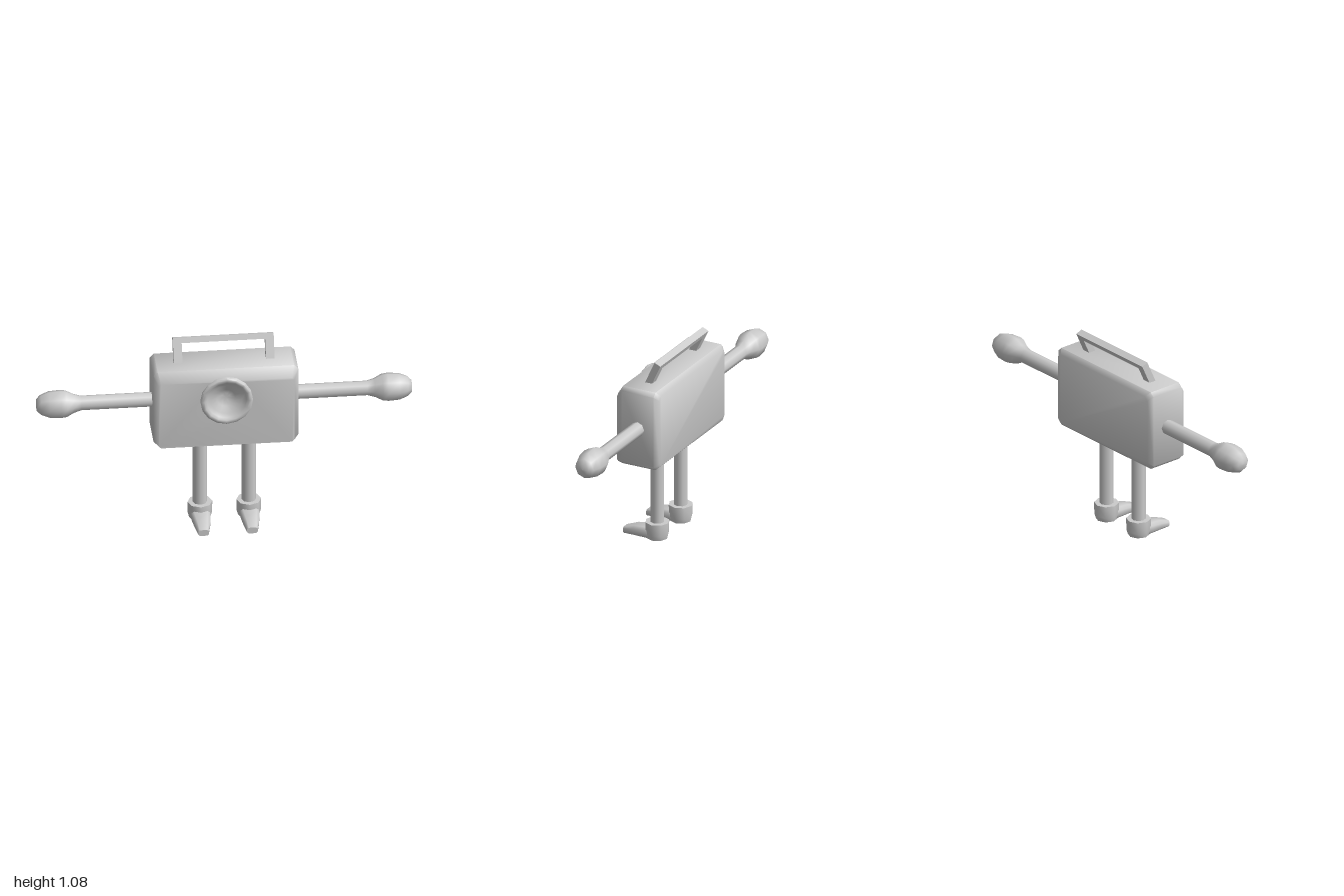
import * as THREE from 'three';
import { mergeGeometries, toCreasedNormals } from 'three/addons/utils/BufferGeometryUtils.js';

const material = new THREE.MeshStandardMaterial({ color: 0xcccccc, side: THREE.DoubleSide });

function addMesh(parent, name, geometry, x = 0, y = 0, z = 0) {
  const mesh = new THREE.Mesh(geometry, material);
  mesh.name = name;
  mesh.position.set(x, y, z);
  parent.add(mesh);
  return mesh;
}

// Rectangle with cut corners, counter-clockwise as seen from the front
function cutRect(w, bottom, top, cut, z) {
  return [
    [w - cut, bottom], [w, bottom + cut], [w, top - cut], [w - cut, top],
    [cut - w, top], [-w, top - cut], [-w, bottom + cut], [cut - w, bottom],
  ].map(([x, y]) => new THREE.Vector3(x, y, z));
}

// Skin over rings ordered from back to front
function loft(rings, capFront = true) {
  const n = rings[0].length;
  const index = [];
  for (let r = 0; r < rings.length - 1; r++) {
    for (let i = 0; i < n; i++) {
      const a = r * n + i, b = r * n + (i + 1) % n;
      index.push(a, b, b + n, a, b + n, a + n);
    }
  }
  const last = (rings.length - 1) * n;
  for (let i = 1; i < n - 1; i++) {
    index.push(0, i + 1, i);
    if (capFront) index.push(last, last + i, last + i + 1);
  }
  const geometry = new THREE.BufferGeometry().setFromPoints(rings.flat());
  geometry.setIndex(index);
  return geometry.toNonIndexed();
}

function lathe(points, sides) {
  return new THREE.LatheGeometry(points.map(([r, y]) => new THREE.Vector2(r, y)), sides);
}

const SPEAKER_Y = 0.785;

// Chamfered case with a round opening for the speaker
function bodyGeometry() {
  const front = cutRect(0.36, 0.507, 0.9, 0.012, 0.09);
  const shell = loft([
    cutRect(0.362, 0.53, 0.93, 0.02, -0.165),
    cutRect(0.385, 0.507, 0.955, 0.022, -0.142),
    cutRect(0.385, 0.507, 0.955, 0.022, 0.052),
    front,
  ], false);
  const panel = new THREE.Shape(front.map((p) => new THREE.Vector2(p.x, p.y)));
  panel.holes.push(new THREE.Path().absarc(0, SPEAKER_Y, 0.108, 0, Math.PI * 2, true));
  const face = new THREE.ShapeGeometry(panel, 8).toNonIndexed();
  face.translate(0, 0, 0.09);
  face.deleteAttribute('uv');
  face.deleteAttribute('normal');
  return toCreasedNormals(mergeGeometries([shell, face]), 1.05);
}

// Raised rim with a dished cone and a small centre cap
function speakerGeometry() {
  const geometry = lathe([
    [0.13, 0.08], [0.14, 0.086], [0.14, 0.102], [0.133, 0.108], [0.117, 0.108],
    [0.106, 0.096], [0.085, 0.086], [0.05, 0.068], [0.022, 0.054], [0, 0.06],
  ], 16);
  geometry.rotateX(Math.PI / 2);
  return toCreasedNormals(geometry, 0.9);
}

// Flat U-shaped carrying handle
function handleGeometry() {
  const shape = new THREE.Shape([
    [-0.268, -0.03], [-0.222, -0.03], [-0.222, 0.1], [0.222, 0.1],
    [0.222, -0.03], [0.268, -0.03], [0.268, 0.13], [-0.268, 0.13],
  ].map(([x, y]) => new THREE.Vector2(x, y)));
  const geometry = new THREE.ExtrudeGeometry(shape, { depth: 0.038, bevelEnabled: false });
  geometry.translate(0, 0, -0.019);
  geometry.rotateX(-0.43);
  return geometry;
}

// Straight arm ending in a rounded mitt
function armGeometry() {
  return lathe([
    [0.04, 0.36], [0.04, 0.76], [0.052, 0.8], [0.073, 0.84], [0.077, 0.87],
    [0.073, 0.93], [0.055, 0.975], [0.033, 0.997], [0, 1],
  ], 8);
}

// Tapering shoe with an ankle cuff
function addFoot(parent) {
  const cuff = lathe([[0, 0.008], [0.058, 0.008], [0.065, 0.035], [0.066, 0.1], [0, 0.1]], 8);
  addMesh(parent, 'ankleCuff', toCreasedNormals(cuff, 0.9), 0, 0, -0.027);
  const shoe = loft([
    cutRect(0.05, 0.007, 0.068, 0.012, -0.04),
    cutRect(0.05, 0.007, 0.067, 0.014, 0.035),
    cutRect(0.042, 0.004, 0.058, 0.014, 0.1),
    cutRect(0.028, 0, 0.035, 0.008, 0.165),
  ]);
  addMesh(parent, 'shoe', toCreasedNormals(shoe, 0.9));
}

export function createModel() {
  const model = new THREE.Group();
  model.name = 'walkingRadio';

  addMesh(model, 'body', bodyGeometry());
  addMesh(model, 'speaker', speakerGeometry(), 0, SPEAKER_Y, 0);
  addMesh(model, 'handle', handleGeometry(), 0, 0.953, -0.048);

  for (const [side, s] of [['left', 1], ['right', -1]]) {
    const arm = addMesh(model, side + 'Arm', armGeometry(), 0, 0.733, -0.045);
    arm.rotation.z = -s * Math.PI / 2;

    const leg = new THREE.Group();
    leg.name = side + 'Leg';
    leg.position.x = s * 0.13;
    addMesh(leg, 'shin', new THREE.CylinderGeometry(0.038, 0.038, 0.46, 8, 1, true), 0, 0.3, -0.027);
    addFoot(leg);
    model.add(leg);
  }
  return model;
}
